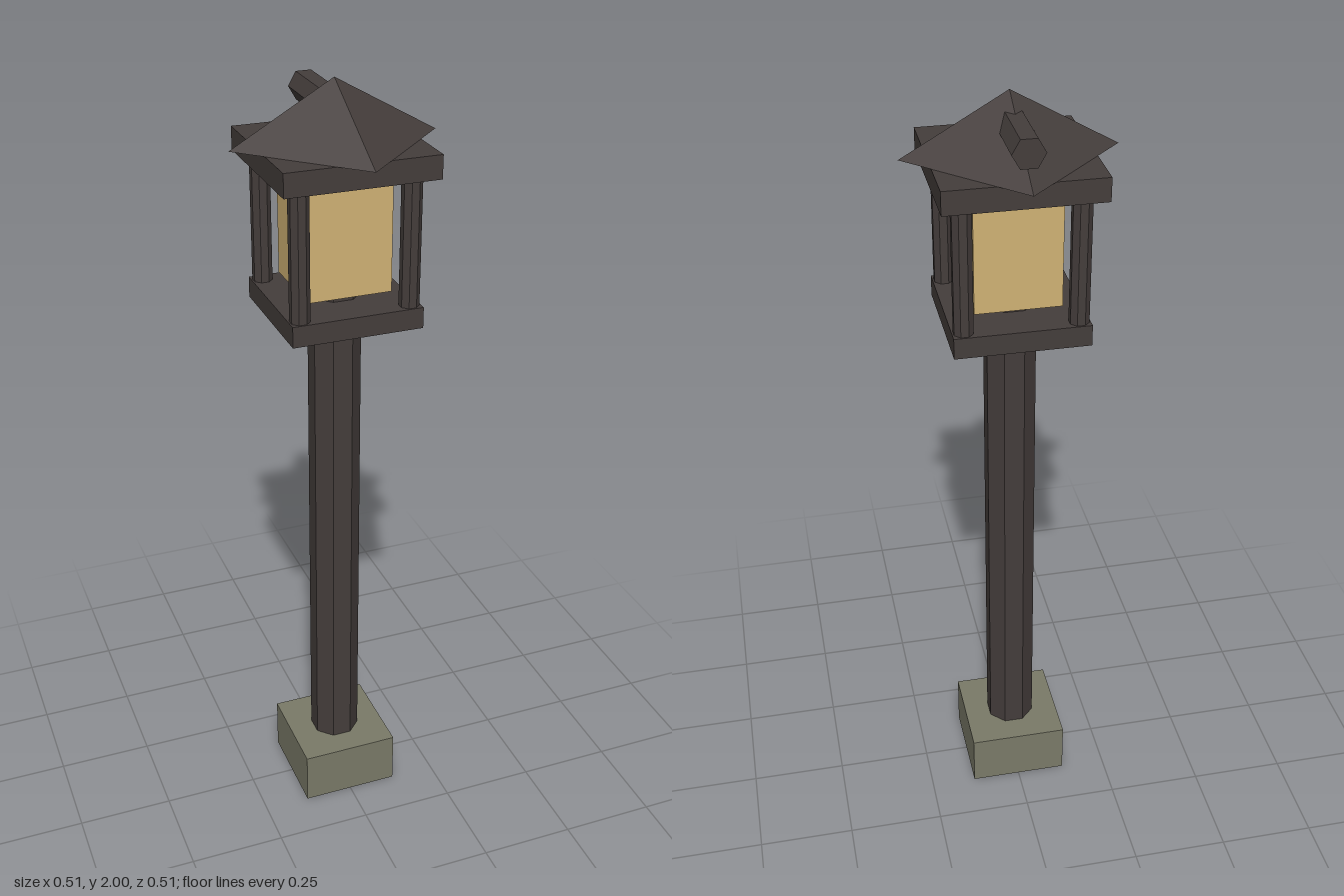
import * as THREE from 'three';

export function createModel() {
  const lamp = new THREE.Group();
  lamp.name = 'lanternPost';

  const iron = new THREE.MeshStandardMaterial({ color: 0x443d3b, flatShading: true });
  iron.name = 'dark iron';
  const stone = new THREE.MeshStandardMaterial({ color: 0x7a7a68, flatShading: true });
  stone.name = 'grey stone';
  const glass = new THREE.MeshStandardMaterial({ color: 0xd0b274, flatShading: true });
  glass.name = 'amber glass';

  function add(name, geometry, material, x = 0, y = 0, z = 0) {
    const mesh = new THREE.Mesh(geometry, material);
    mesh.name = name;
    mesh.position.set(x, y, z);
    lamp.add(mesh);
    return mesh;
  }

  // Square block between two heights
  function block(name, width, bottom, top, material) {
    return add(name, new THREE.BoxGeometry(width, top - bottom, width), material, 0, (bottom + top) / 2);
  }

  // Upright octagonal bar with flat sides facing the axes
  function bar(name, radius, bottom, top, x = 0, z = 0) {
    const geometry = new THREE.CylinderGeometry(radius, radius, top - bottom, 8).rotateY(Math.PI / 8);
    return add(name, geometry, iron, x, (bottom + top) / 2, z);
  }

  // Footing and pole
  block('footing', 0.26, 0, 0.145, stone);
  bar('pole', 0.066, 0.1, 1.83);

  // Lantern: tray, glass, corner bars and top frame
  block('lanternTray', 0.33, 1.425, 1.478, iron);
  block('lanternGlass', 0.212, 1.505, 1.78, glass);
  for (const x of [-0.138, 0.138]) {
    for (const z of [-0.138, 0.138]) bar('cornerBar', 0.025, 1.46, 1.81, x, z);
  }
  block('topFrame', 0.38, 1.797, 1.855, iron);

  // Pyramid roof, turned a corner to each side
  add('roof', new THREE.ConeGeometry(0.255, 0.145, 4), iron, 0, 1.9275, 0);

  // Hexagonal pipe out of the back of the roof
  const pipe = new THREE.CylinderGeometry(0.039, 0.039, 0.2, 6).rotateY(Math.PI / 6).rotateX(Math.PI / 2);
  add('roofPipe', pipe, iron, 0, 1.931, -0.108);

  return lamp;
}
